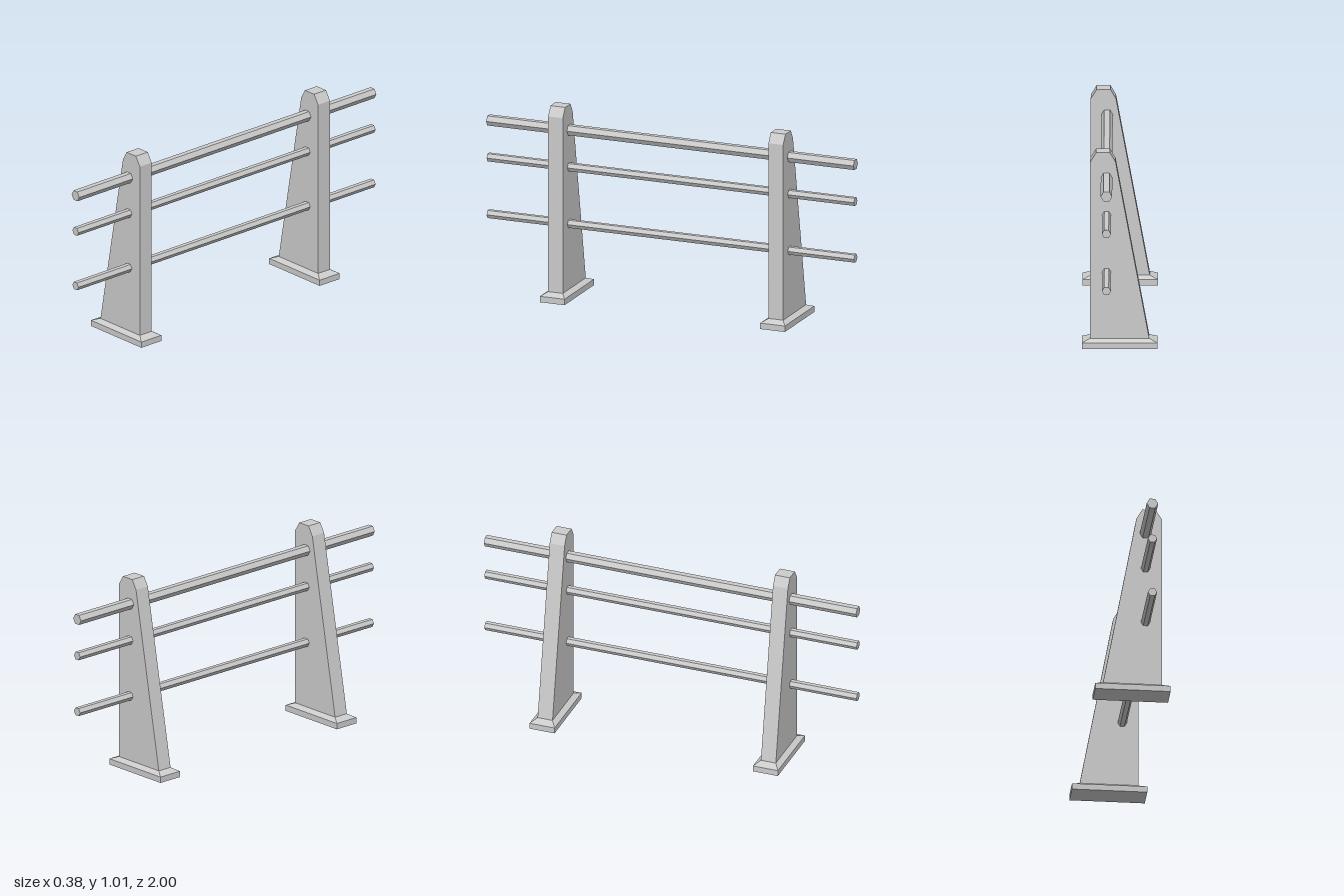
import * as THREE from 'three';

const material = new THREE.MeshStandardMaterial({ color: 0xcccccc, flatShading: true });

const POST_Z = 0.6;
const POST_DEPTH = 0.08;
const BASE_TOP = 0.047;

function addMesh(parent, name, geometry) {
  const mesh = new THREE.Mesh(geometry, material);
  mesh.name = name;
  parent.add(mesh);
  return mesh;
}

// Foot plate: straight sides, then a slope drawn in to the post's outline
function footGeometry() {
  const geometry = new THREE.BoxGeometry(0.38, BASE_TOP, 0.134, 1, 2, 1);
  geometry.translate(0, BASE_TOP / 2, 0);
  const p = geometry.attributes.position;
  for (let i = 0; i < p.count; i++) {
    const y = p.getY(i);
    if (y > BASE_TOP * 0.75) {
      p.setX(i, Math.sign(p.getX(i)) * 0.148);
      p.setZ(i, Math.sign(p.getZ(i)) * POST_DEPTH / 2);
    } else if (y > BASE_TOP * 0.25) {
      p.setY(i, 0.031);
    }
  }
  return geometry;
}

// Post: upright on one side, raked on the other, with a chamfered top
function postGeometry() {
  const outline = [
    [-0.148, BASE_TOP], [0.148, BASE_TOP], [0.148, 0.965],
    [0.118, 1.013], [0.049, 1.013], [0.021, 0.965],
  ];
  const shape = new THREE.Shape(outline.map(([x, y]) => new THREE.Vector2(x, y)));
  const geometry = new THREE.ExtrudeGeometry(shape, { depth: POST_DEPTH, bevelEnabled: false });
  return geometry.translate(0, 0, -POST_DEPTH / 2);
}

export function createModel() {
  const model = new THREE.Group();
  model.name = 'railFence';

  // Two identical supports
  const foot = footGeometry();
  const post = postGeometry();
  for (const [name, z] of [['frontSupport', POST_Z], ['backSupport', -POST_Z]]) {
    const support = new THREE.Group();
    support.name = name;
    support.position.z = z;
    addMesh(support, 'foot', foot);
    addMesh(support, 'post', post);
    model.add(support);
  }

  // Hexagonal rails running through both posts, the top one thicker
  const rails = [
    ['topRail', 0.882, 0.029],
    ['middleRail', 0.688, 0.023],
    ['bottomRail', 0.391, 0.023],
  ];
  for (const [name, y, radius] of rails) {
    const geometry = new THREE.CylinderGeometry(radius, radius, 2, 6, 1, false, Math.PI / 2);
    geometry.rotateX(Math.PI / 2);
    addMesh(model, name, geometry).position.set(0.066, y, 0);
  }

  return model;
}
